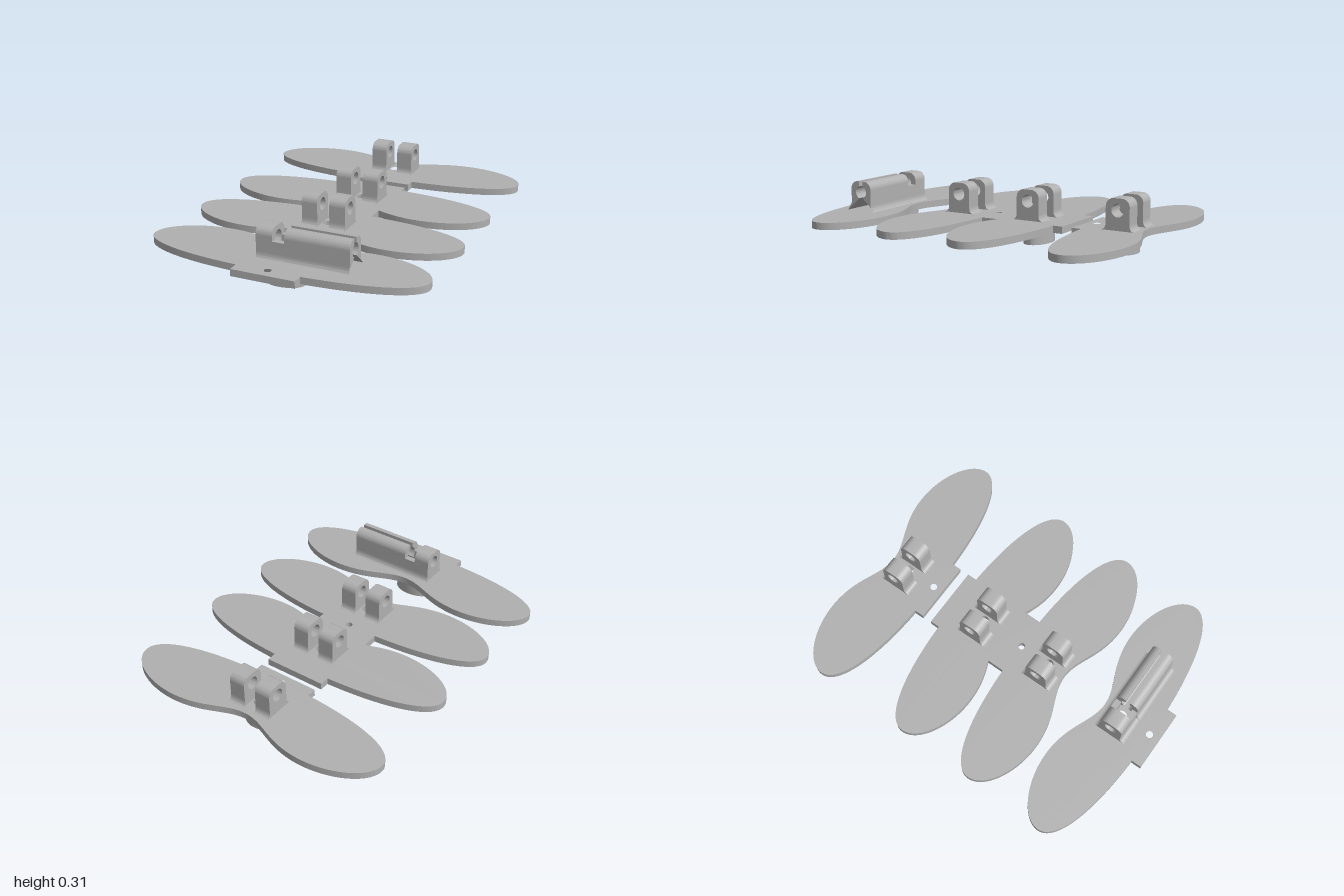
import * as THREE from 'three';
import { toCreasedNormals } from 'three/addons/utils/BufferGeometryUtils.js';

const BASE = 0.1, TOP = 0.14, CREST = 0.315, PIN_Y = 0.25, PIN_R = 0.037;
const grey = new THREE.MeshStandardMaterial({ color: 0xb0b0b0 });
grey.name = 'grey plastic';

function extrude(shape, depth) {
  return new THREE.ExtrudeGeometry(shape, { depth, bevelEnabled: false, curveSegments: 24 });
}
function mesh(name, geometry) {
  const m = new THREE.Mesh(toCreasedNormals(geometry, 0.6), grey);
  m.name = name;
  return m;
}
// Flat shape in (x, -z), extruded upward from y
function slab(name, shape, y, height) {
  return mesh(name, extrude(shape, height).rotateX(-Math.PI / 2).translate(0, y, 0));
}
// Profile in (z, y), extruded from x0 to x1
function bar(name, shape, x0, x1) {
  return mesh(name, extrude(shape, x1 - x0).rotateY(-Math.PI / 2).translate(x1, 0, 0));
}
function circle(x, y, r) {
  return new THREE.Path().absarc(x, y, r, 0, Math.PI * 2, true);
}

// Two-lobed plate with a waist on one side and a tab on the other
function plateShape(dir, tab, smallHole) {
  const s = new THREE.Shape();
  const half = new THREE.Path();
  half.moveTo(0, 0.115);
  half.bezierCurveTo(0.13, 0.115, 0.22, 0.222, 0.43, 0.222);
  half.bezierCurveTo(0.62, 0.222, 0.8, 0.125, 0.8, 0.015);
  half.bezierCurveTo(0.8, -0.1, 0.55, -0.175, 0.183, -0.19);
  half.lineTo(0.183, -tab);
  const right = half.getPoints(28);
  const left = right.slice(1).reverse().map(p => new THREE.Vector2(-p.x, p.y));
  s.setFromPoints([...right, ...left].map(p => new THREE.Vector2(p.x, p.y * dir)));
  s.holes.push(circle(0, 0, 0.03));
  if (smallHole) s.holes.push(circle(0, -0.188 * dir, 0.02));
  return s;
}

// Upright lug with rounded top, flared foot and pin hole
function lugShape() {
  const s = new THREE.Shape();
  s.moveTo(-0.1, TOP);
  s.lineTo(0.1, TOP);
  s.quadraticCurveTo(0.07, TOP, 0.07, 0.18);
  s.lineTo(0.07, CREST - 0.045);
  s.absarc(0.025, CREST - 0.045, 0.045, 0, Math.PI / 2);
  s.lineTo(-0.025, CREST);
  s.absarc(-0.025, CREST - 0.045, 0.045, Math.PI / 2, Math.PI);
  s.lineTo(-0.07, 0.18);
  s.quadraticCurveTo(-0.07, TOP, -0.1, TOP);
  s.holes.push(circle(0, PIN_Y, PIN_R));
  return s;
}
// One side of the slit barrel
function barrelHalf(side) {
  const gap = 0.013, a = Math.asin(gap / PIN_R);
  const s = new THREE.Shape();
  s.moveTo(gap, TOP);
  s.absarc(0, PIN_Y, PIN_R, -Math.PI / 2 + a, Math.PI / 2 - a);
  s.lineTo(gap, CREST);
  s.lineTo(0.025, CREST);
  s.absarc(0.025, CREST - 0.045, 0.045, Math.PI / 2, 0, true);
  s.lineTo(0.07, 0.18);
  s.quadraticCurveTo(0.07, TOP, 0.1, TOP);
  return new THREE.Shape(s.getPoints(20).map(p => new THREE.Vector2(p.x * side, p.y)));
}
// Low cheek beside the notch
function cheek(side) {
  const s = new THREE.Shape();
  s.moveTo(PIN_R * side, TOP);
  s.lineTo(0.1 * side, TOP);
  s.quadraticCurveTo(0.07 * side, TOP, 0.07 * side, 0.18);
  s.lineTo(0.07 * side, 0.245);
  s.lineTo(PIN_R * side, 0.245);
  return s;
}
// Hollow oval socket under the plate
function socketShape(a, b) {
  const s = new THREE.Shape();
  s.absellipse(0, 0, a, b, 0, Math.PI * 2, false, 0);
  s.holes.push(new THREE.Path().absellipse(0, 0, a - 0.02, b - 0.02, 0, Math.PI * 2, true, 0));
  return s;
}

export function createModel() {
  const model = new THREE.Group();
  model.name = 'hingedPlates';
  // dir 1: waist toward the back; -1: waist toward the front
  const plates = [
    { name: 'backPlate', x: 0, z: -0.777, dir: 1, tab: 0.247, small: true, socket: [0.09, 0.06] },
    { name: 'rearMiddlePlate', x: 0, z: -0.224, dir: -1, tab: 0.247, small: false, socket: [0.123, 0.076] },
    { name: 'frontMiddlePlate', x: 0, z: 0.236, dir: -1, tab: 0.35, small: true, socket: [0.09, 0.06] },
    { name: 'frontPlate', x: -0.01, z: 0.75, dir: 1, tab: 0.25, small: true, socket: [0.12, 0.076], barrel: true },
  ];
  for (const p of plates) {
    const g = new THREE.Group();
    g.name = p.name;
    g.position.set(p.x, 0, p.z);
    g.add(slab('plate', plateShape(p.dir, p.tab, p.small), BASE, TOP - BASE));
    g.add(slab('socket', socketShape(...p.socket), 0, BASE));
    g.add(bar('rightLug', lugShape(), -0.13, -0.035));
    if (p.barrel) {
      for (const side of [-1, 1]) {
        g.add(bar('slitBarrel', barrelHalf(side), 0.035, 0.4));
        g.add(bar('notchCheek', cheek(side), -0.035, 0.035));
      }
    } else {
      g.add(bar('leftLug', lugShape(), 0.038, 0.133));
    }
    model.add(g);
  }
  return model;
}
